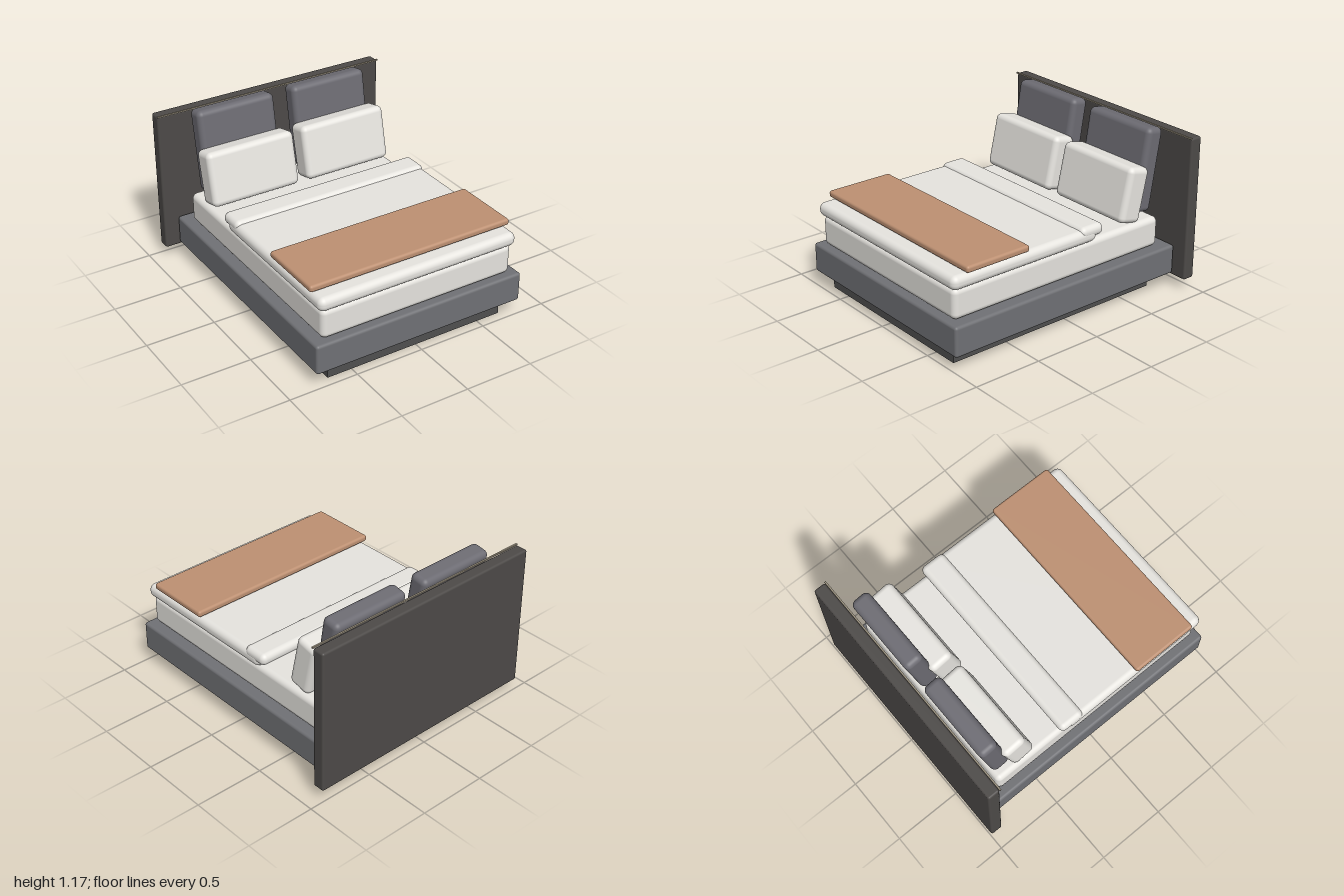
import * as THREE from 'three';
import { RoundedBoxGeometry } from 'three/addons/geometries/RoundedBoxGeometry.js';

const paint = (color) => new THREE.MeshStandardMaterial({ color });

export function createModel() {
  const bed = new THREE.Group();
  bed.name = 'bed';

  const linen = paint(0xe6e4df);
  const upholstery = paint(0x707175);
  const darkPanel = paint(0x4d4a48);
  const plinthGrey = paint(0x4f4f4f);
  const cushionGrey = paint(0x6c6b72);
  const tan = paint(0xbd9072);
  const trimMetal = paint(0x9a917f);

  // Soft-edged box of a given size and centre; radius 0 gives a plain box
  function block(name, material, [w, h, d], [x, y, z], radius = 0, segments = 5) {
    const geometry = radius
      ? new RoundedBoxGeometry(w, h, d, segments, radius)
      : new THREE.BoxGeometry(w, h, d);
    const mesh = new THREE.Mesh(geometry, material);
    mesh.name = name;
    mesh.position.set(x, y, z);
    bed.add(mesh);
    return mesh;
  }

  // Frame: recessed plinth, upholstered base, headboard with a thin top trim
  block('plinth', plinthGrey, [1.36, 0.11, 1.70], [0, 0.055, 0.08]);
  block('base', upholstery, [1.6, 0.215, 1.9], [0, 0.2125, 0.05], 0.02);
  block('headboard', darkPanel, [1.8, 1.045, 0.09], [0, 0.6025, -0.955], 0.015);
  block('headboardTrim', trimMetal, [1.8, 0.01, 0.012], [0, 1.126, -0.906]);

  // Bedding: mattress, duvet, turned-back fold and foot runner
  block('mattress', linen, [1.47, 0.218, 1.76], [0, 0.432, 0.08], 0.04);
  block('duvet', linen, [1.52, 0.1, 1.195], [0, 0.585, 0.383], 0.045);
  block('duvetFold', linen, [1.52, 0.085, 0.195], [0, 0.613, -0.173], 0.04);
  block('runner', tan, [1.54, 0.048, 0.5], [0, 0.665, 0.63], 0.018);

  // Pillow pairs leaning back toward the headboard
  for (const side of [1, -1]) {
    const label = side > 0 ? 'left' : 'right';
    const pillow = block(label + 'Pillow', linen,
      [0.68, 0.392, 0.18], [side * 0.375, 0.735, -0.594], 0.04);
    pillow.rotation.x = -0.22;
    const cushion = block(label + 'BackCushion', cushionGrey,
      [0.6, 0.6, 0.14], [side * 0.375, 0.864, -0.759], 0.04);
    cushion.rotation.x = -0.165;
  }

  return bed;
}
